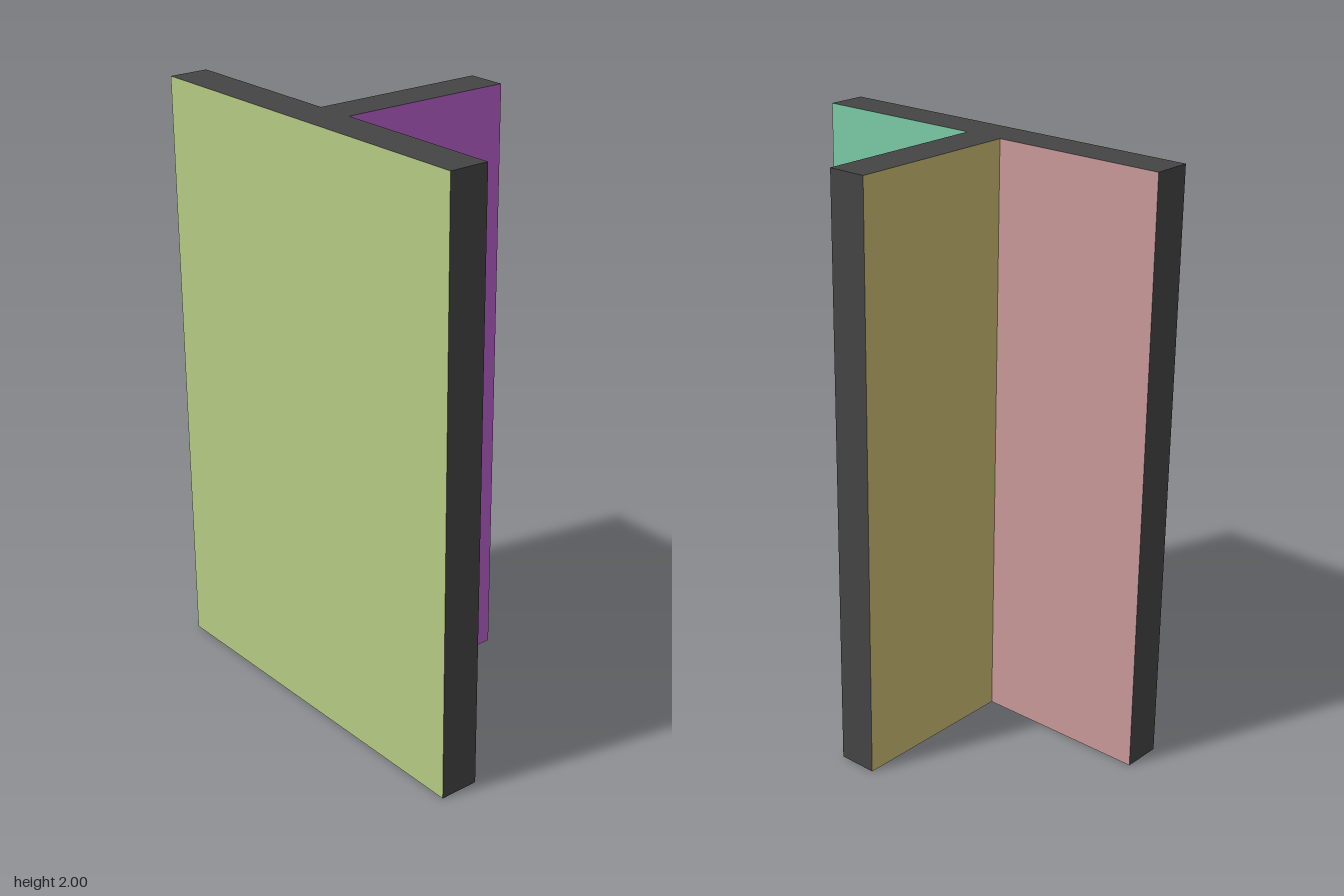
import * as THREE from 'three';

const HEIGHT = 2;
const DARK = 0x444444;

// T-shaped plan outline: start corner [x, z] of each wall, its name and its color
const WALLS = [
  [-0.367, 0.667, 'flangeFrontEnd', DARK],
  [-0.233, 0.667, 'flangeInnerFront', 0x7acaa6],
  [-0.233, 0.067, 'webFront', 0xbb5fcb],
  [0.367, 0.067, 'webEnd', DARK],
  [0.367, -0.067, 'webBack', 0xcbbb72],
  [-0.233, -0.067, 'flangeInnerBack', 0xca9999],
  [-0.233, -0.667, 'flangeBackEnd', DARK],
  [-0.367, -0.667, 'flangeOuter', 0xb5cb83],
];

function addMesh(group, name, geometry, color) {
  const mesh = new THREE.Mesh(geometry, new THREE.MeshStandardMaterial({ color }));
  mesh.name = name;
  group.add(mesh);
  return mesh;
}

export function createModel() {
  const group = new THREE.Group();
  group.name = 'teeSection';

  // Upright walls, one per edge of the outline, facing outward
  WALLS.forEach(([x, z, name, color], i) => {
    const [nx, nz] = WALLS[(i + 1) % WALLS.length];
    const dx = nx - x, dz = nz - z;
    const wall = addMesh(group, name, new THREE.PlaneGeometry(Math.hypot(dx, dz), HEIGHT), color);
    wall.position.set((x + nx) / 2, HEIGHT / 2, (z + nz) / 2);
    wall.rotation.y = Math.atan2(-dz, dx);
  });

  // Top and bottom caps
  const outline = (sign) => new THREE.Shape(WALLS.map(([x, z]) => new THREE.Vector2(x, sign * z)));
  const top = addMesh(group, 'topCap', new THREE.ShapeGeometry(outline(-1)), DARK);
  top.rotation.x = -Math.PI / 2;
  top.position.y = HEIGHT;
  const bottom = addMesh(group, 'bottomCap', new THREE.ShapeGeometry(outline(1)), DARK);
  bottom.rotation.x = Math.PI / 2;

  return group;
}
